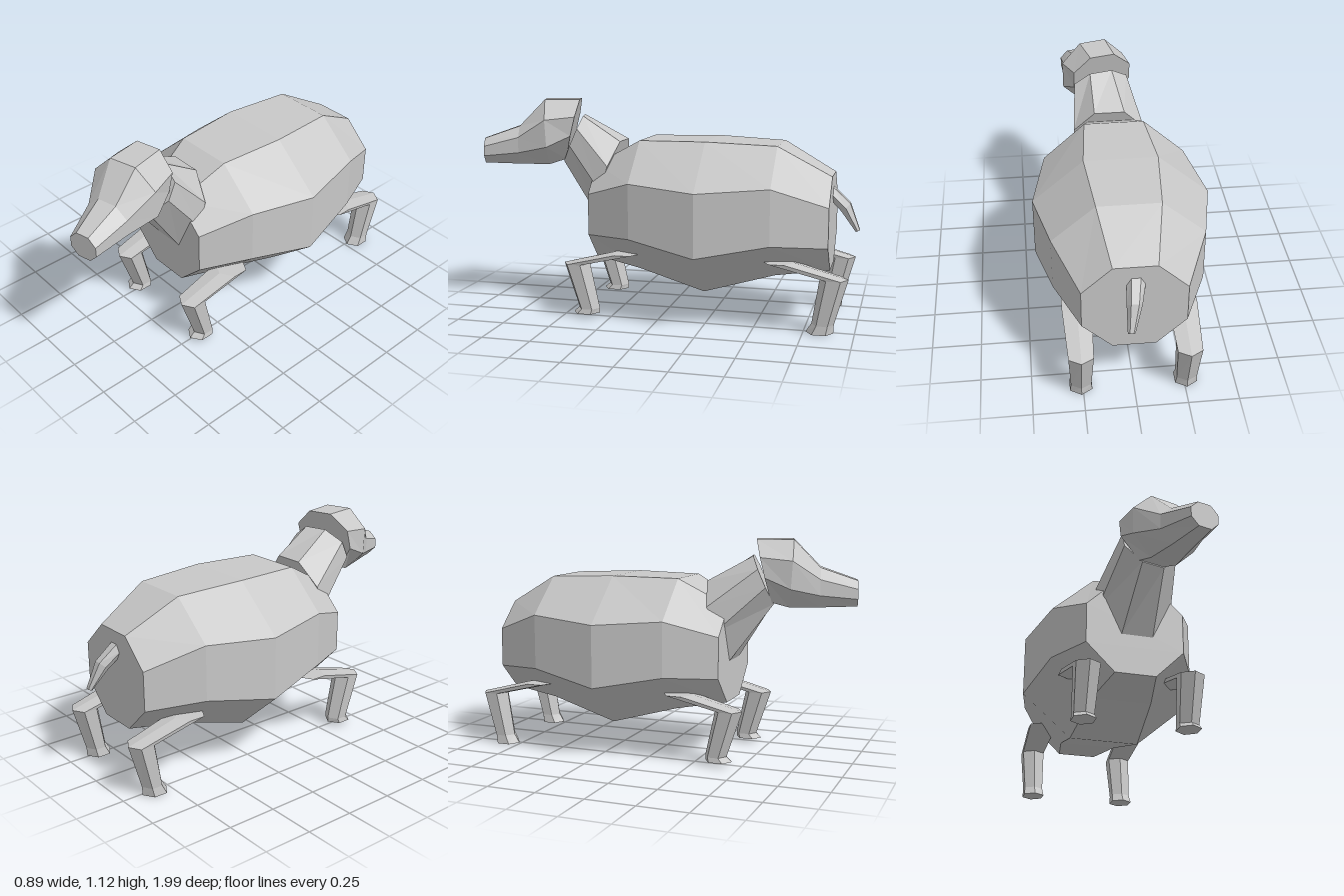
import * as THREE from 'three';

const grey = new THREE.MeshStandardMaterial({ color: 0xc8c8c8, flatShading: true });
grey.name = 'plain grey';

// Skin a list of rings (counter-clockwise seen from the last ring's end) and cap both ends
function loft(name, rings) {
  const pos = [];
  const tri = (a, b, c) => pos.push(...a, ...b, ...c);
  const n = rings[0].length;
  for (let i = 0; i < rings.length - 1; i++) {
    for (let j = 0; j < n; j++) {
      const k = (j + 1) % n;
      const [a, b, c, d] = [rings[i][j], rings[i][k], rings[i + 1][k], rings[i + 1][j]];
      tri(a, b, c);
      tri(a, c, d);
    }
  }
  const first = rings[0], last = rings[rings.length - 1];
  for (let j = 1; j < n - 1; j++) {
    tri(first[0], first[j + 1], first[j]);
    tri(last[0], last[j], last[j + 1]);
  }
  const geo = new THREE.BufferGeometry();
  geo.setAttribute('position', new THREE.Float32BufferAttribute(pos, 3));
  geo.computeVertexNormals();
  const mesh = new THREE.Mesh(geo, grey);
  mesh.name = name;
  return mesh;
}

// Eight-sided section: half widths, four heights, top and bottom z, sideways turn
function oct(cx, wCap, wSide, [yT, yH, yL, yB], zT, zB, turn = 0) {
  const pts = [
    [wSide, yL], [wSide, yH], [wCap, yT], [-wCap, yT],
    [-wSide, yH], [-wSide, yL], [-wCap, yB], [wCap, yB],
  ];
  return pts.map(([x, y]) =>
    [cx + x, y, zB + (zT - zB) * (y - yB) / (yT - yB) - turn * x]);
}

// Level six-sided section for the legs, with a corner at the front
function hex(cx, y, cz, halfW, halfD) {
  return Array.from({ length: 6 }, (_, i) => {
    const a = Math.PI / 6 + i * Math.PI / 3;
    return [cx + Math.cos(a) * halfW / 0.866, y, cz + Math.sin(a) * halfD];
  });
}

// Upright six-sided section for the tail; tilt leans it over
function tailRing(cx, cy, cz, rx, ry, tilt) {
  return Array.from({ length: 6 }, (_, i) => {
    const a = i * Math.PI / 3;
    const v = -Math.sin(a) * ry;
    return [cx + Math.cos(a) * rx, cy + v * Math.cos(tilt), cz - v * Math.sin(tilt)];
  });
}

export function createModel() {
  const model = new THREE.Group();
  model.name = 'animal';

  // Barrel body, rear to front
  model.add(loft('body', [
    oct(0, 0.105, 0.25, [0.755, 0.62, 0.42, 0.28], -0.86, -0.86),
    oct(0, 0.155, 0.37, [0.905, 0.72, 0.44, 0.25], -0.59, -0.59),
    oct(0, 0.185, 0.445, [0.92, 0.695, 0.375, 0.15], -0.23, -0.23),
    oct(0, 0.155, 0.37, [0.915, 0.72, 0.44, 0.245], 0.12, 0.12),
    oct(0, 0.105, 0.25, [0.78, 0.64, 0.43, 0.285], 0.37, 0.37),
  ]));

  // Neck
  model.add(loft('neck', [
    oct(0.01, 0.08, 0.19, [0.9, 0.78, 0.65, 0.495], 0.245, 0.37),
    oct(0.035, 0.06, 0.145, [1.03, 0.97, 0.88, 0.79], 0.46, 0.57, 0.25),
  ]));

  // Head turned slightly to its left, back of skull to nose
  model.add(loft('head', [
    oct(0.025, 0.065, 0.155, [1.115, 1.03, 0.93, 0.80], 0.48, 0.56, 0.25),
    oct(0.065, 0.07, 0.17, [1.115, 1.015, 0.875, 0.775], 0.66, 0.64, 0.27),
    oct(0.105, 0.05, 0.112, [0.975, 0.92, 0.84, 0.775], 0.79, 0.79, 0.24),
    oct(0.157, 0.034, 0.073, [0.91, 0.87, 0.82, 0.78], 0.97, 0.97, 0.24),
  ]));

  // Legs, mirrored left and right
  for (const [side, s] of [['left', 1], ['right', -1]]) {
    const x = 0.26 * s;
    model.add(loft(side + 'FrontLeg', [
      hex(x, 0.345, 0.165, 0.073, 0.08),
      hex(x, 0.28, 0.43, 0.06, 0.07),
      hex(x, 0.045, 0.365, 0.05, 0.056),
      hex(x, 0.02, 0.38, 0.055, 0.07),
    ]));
    model.add(loft(side + 'HindLeg', [
      hex(x, 0.345, -0.62, 0.073, 0.08),
      hex(x, 0.275, -0.895, 0.06, 0.07),
      hex(x, 0.045, -0.845, 0.05, 0.055),
      hex(x, 0.0, -0.83, 0.055, 0.068),
    ]));
  }

  // Tail
  model.add(loft('tail', [
    tailRing(-0.005, 0.66, -0.85, 0.045, 0.045, 0),
    tailRing(0.01, 0.59, -0.925, 0.037, 0.035, 0.8),
    tailRing(0.03, 0.475, -0.988, 0.018, 0.013, 1.1),
  ]));

  return model;
}
